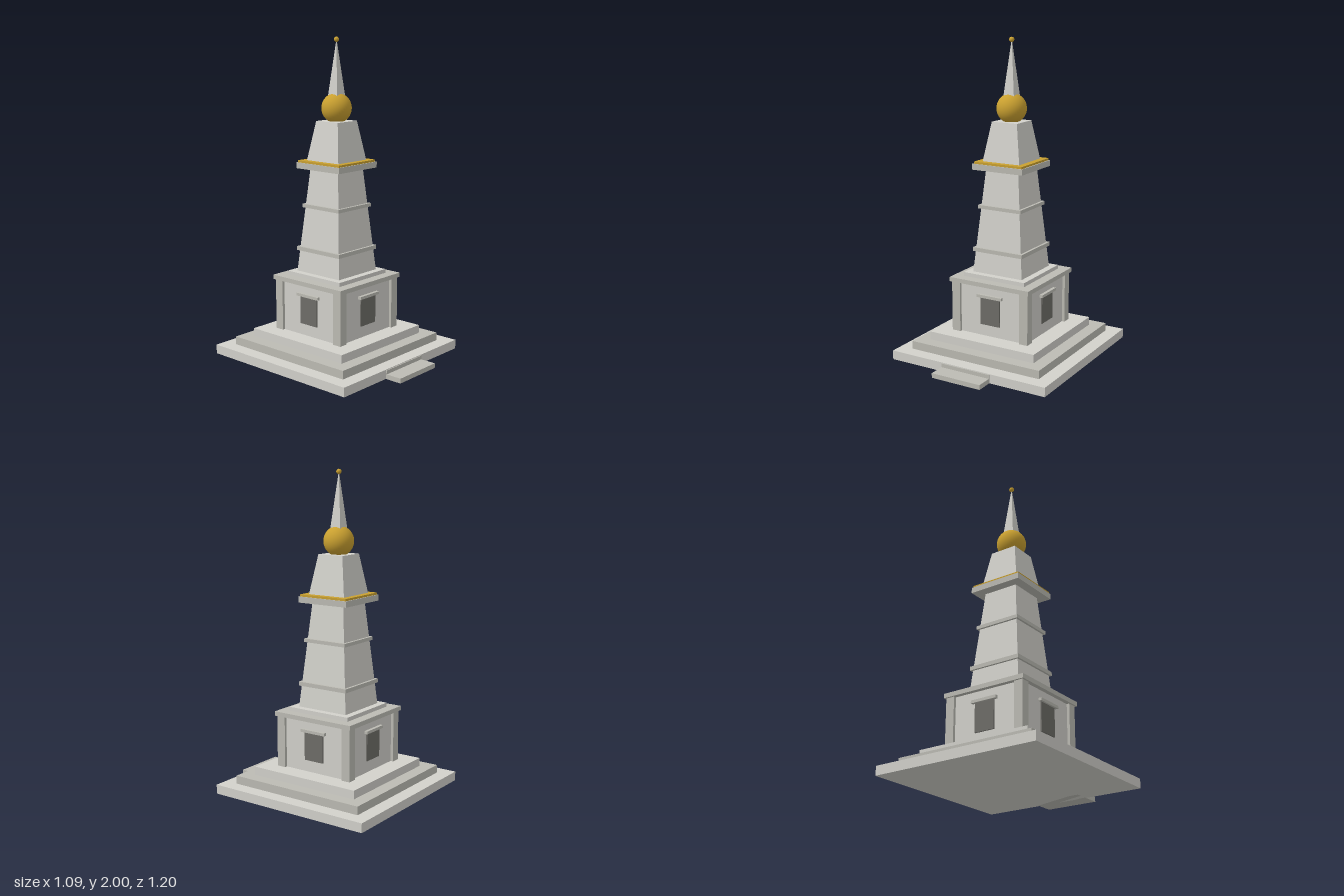
import * as THREE from 'three';

const paint = (color) => new THREE.MeshStandardMaterial({ color });

export function createModel() {
  const stone = paint(0xd2d1cb), trim = paint(0xbcbbb3), dark = paint(0x6e6d68), gold = paint(0xc9a030);
  const model = new THREE.Group();
  const tower = new THREE.Group();
  tower.name = 'tower';
  tower.position.z = -0.055;
  model.add(tower);

  function add(parent, name, geometry, material, x = 0, y = 0, z = 0) {
    const mesh = new THREE.Mesh(geometry, material);
    mesh.name = name;
    mesh.position.set(x, y, z);
    parent.add(mesh);
    return mesh;
  }

  // Square slab given by half width and bottom / top heights
  const slab = (name, half, y0, y1, material) =>
    add(tower, name, new THREE.BoxGeometry(2 * half, y1 - y0, 2 * half), material, 0, (y0 + y1) / 2, 0);

  // Square tapered block, flat-sided
  function taper(name, h0, h1, y0, y1, material) {
    const g = new THREE.CylinderGeometry(h1 * Math.SQRT2, h0 * Math.SQRT2, y1 - y0, 4, 1);
    g.rotateY(Math.PI / 4);
    const flat = g.toNonIndexed();
    flat.computeVertexNormals();
    return add(tower, name, flat, material, 0, (y0 + y1) / 2, 0);
  }

  // Stepped platform
  slab('lowerPlatform', 0.545, 0, 0.058, stone);
  slab('middlePlatform', 0.457, 0.058, 0.11, trim);
  slab('upperPlatform', 0.375, 0.11, 0.163, stone);

  // Chamber with corner pillars and cornice
  slab('chamber', 0.255, 0.163, 0.487, stone);
  for (const sx of [-1, 1]) for (const sz of [-1, 1])
    add(tower, 'cornerPillar', new THREE.BoxGeometry(0.058, 0.324, 0.058), trim, sx * 0.244, 0.325, sz * 0.244);
  slab('cornice', 0.284, 0.487, 0.515, trim);
  slab('shaftPlinth', 0.219, 0.515, 0.54, stone);

  // Niche and lintel on each of the four sides
  for (let i = 0; i < 4; i++) {
    const side = new THREE.Group();
    side.name = 'niche';
    side.rotation.y = i * Math.PI / 2;
    add(side, 'nichePanel', new THREE.BoxGeometry(0.136, 0.178, 0.02), dark, 0, 0.326, 0.253);
    add(side, 'nicheLintel', new THREE.BoxGeometry(0.176, 0.018, 0.036), trim, 0, 0.424, 0.258);
    tower.add(side);
  }

  // Tapered shaft with bands
  taper('shaft', 0.176, 0.115, 0.54, 1.195, stone);
  slab('lowerBand', 0.177, 0.674, 0.699, trim);
  slab('upperBand', 0.152, 0.948, 0.97, trim);
  slab('shaftCap', 0.177, 1.195, 1.232, trim);
  slab('goldBand', 0.17, 1.232, 1.245, gold);
  taper('upperShaft', 0.13, 0.089, 1.245, 1.488, stone);

  // Globe, spire and finial
  add(tower, 'globe', new THREE.SphereGeometry(0.094, 40, 24), gold, 0, 1.567, 0);
  taper('spire', 0.038, 0.001, 1.635, 1.98, stone);
  add(tower, 'finial', new THREE.SphereGeometry(0.016, 20, 14), gold, 0, 1.984, 0);

  // Front steps
  add(model, 'upperStep', new THREE.BoxGeometry(0.34, 0.054, 0.1), trim, 0, 0.027, 0.446);
  add(model, 'lowerStep', new THREE.BoxGeometry(0.34, 0.03, 0.12), trim, 0, 0.015, 0.54);

  return model;
}
